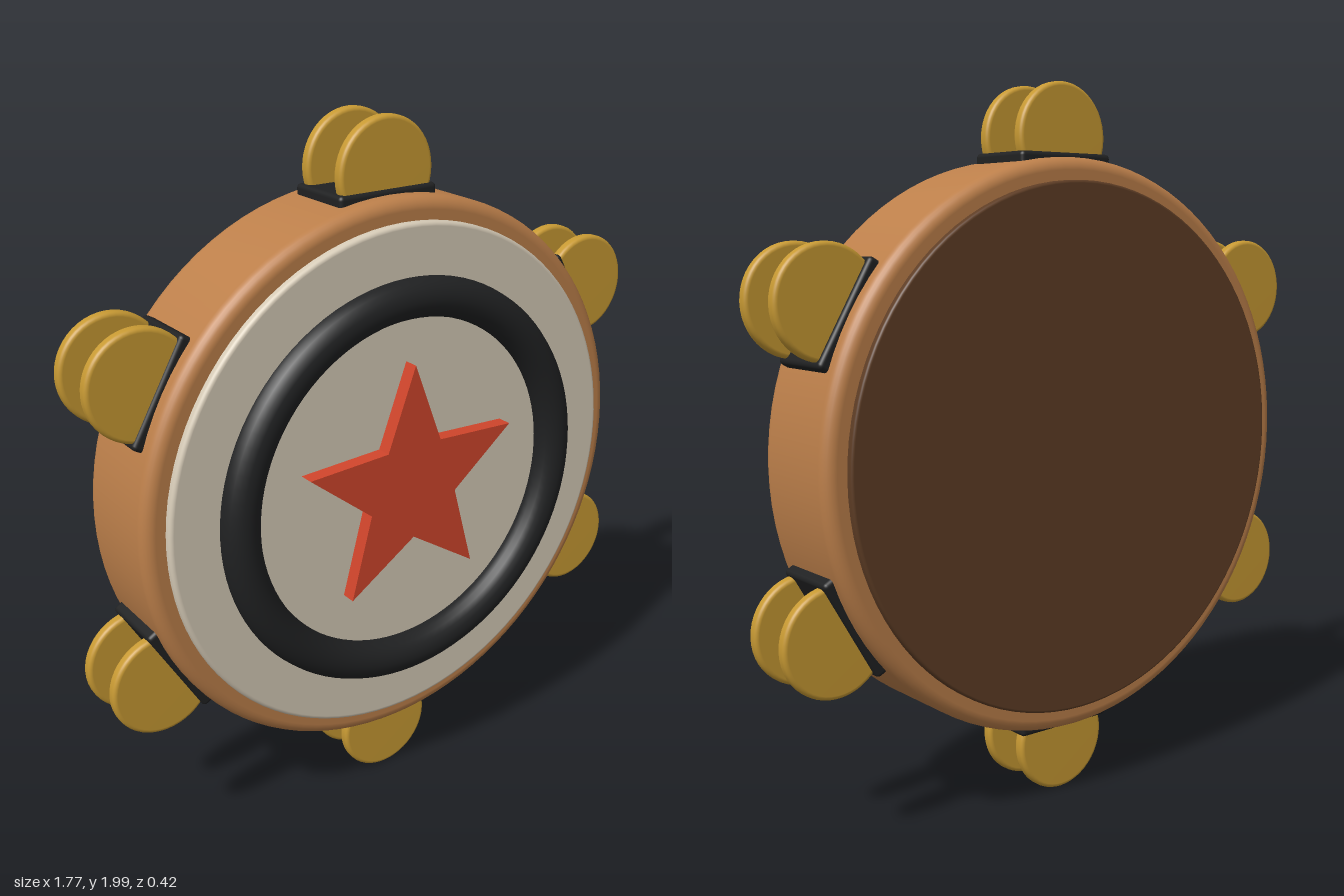
import * as THREE from 'three';
import { RoundedBoxGeometry } from 'three/addons/geometries/RoundedBoxGeometry.js';

const mat = (name, color) => {
  const m = new THREE.MeshStandardMaterial({ color });
  m.name = name;
  return m;
};

// Solid disc along z with rounded rims
function discGeometry(radius, z0, z1, round, segments = 96) {
  const pts = [new THREE.Vector2(0, z0)];
  const steps = 6;
  for (const [z, start] of [[z0 + round, -Math.PI / 2], [z1 - round, 0]]) {
    for (let i = 0; i <= steps; i++) {
      const a = start + (i / steps) * Math.PI / 2;
      pts.push(new THREE.Vector2(radius - round + round * Math.cos(a), z + round * Math.sin(a)));
    }
  }
  pts.push(new THREE.Vector2(0, z1));
  return new THREE.LatheGeometry(pts, segments).rotateX(Math.PI / 2);
}

function starGeometry(outer, inner, depth) {
  const pts = [];
  for (let i = 0; i < 10; i++) {
    const a = Math.PI / 2 + i * Math.PI / 5;
    const r = i % 2 ? inner : outer;
    pts.push(new THREE.Vector2(r * Math.cos(a), r * Math.sin(a)));
  }
  return new THREE.ExtrudeGeometry(new THREE.Shape(pts), { depth, bevelEnabled: false });
}

export function createModel() {
  const wood = mat('wood', 0xbc7f4a);
  const darkWood = mat('dark wood', 0x5e3d25);
  const skin = mat('cream skin', 0xd5cab6);
  const black = mat('black', 0x202122);
  const brass = mat('brass', 0xc79933);
  const red = mat('red', 0xd0452b);

  const model = new THREE.Group();
  model.name = 'tambourine';
  const body = new THREE.Group();
  body.name = 'body';
  body.position.y = 1.003;
  model.add(body);

  const add = (parent, name, geometry, material, x = 0, y = 0, z = 0) => {
    const mesh = new THREE.Mesh(geometry, material);
    mesh.name = name;
    mesh.position.set(x, y, z);
    parent.add(mesh);
    return mesh;
  };

  // Drum body with front skin and back panel
  add(body, 'frame', discGeometry(0.795, -0.19, 0.125, 0.035), wood);
  add(body, 'frontSkin', discGeometry(0.733, 0.09, 0.147, 0.012), skin);
  add(body, 'backPanel', discGeometry(0.733, -0.21, -0.16, 0.008), darkWood);

  // Painted ring, very slightly tilted, and raised star
  const ring = add(body, 'ring', new THREE.TorusGeometry(0.535, 0.056, 20, 96), black, 0, 0, 0.151);
  ring.rotation.set(-0.012, -0.006, 0);
  add(body, 'star', starGeometry(0.358, 0.152, 0.05), red, 0, 0.003, 0.14);

  // Six pairs of jingles, each on a dark mount
  const mountGeometry = new RoundedBoxGeometry(0.31, 0.05, 0.21, 3, 0.012);
  const jingleGeometry = discGeometry(0.148, -0.018, 0.018, 0.012, 48);
  for (let i = 0; i < 6; i++) {
    const station = new THREE.Group();
    station.name = `jingleStation${i + 1}`;
    station.rotation.z = i * Math.PI / 3;
    body.add(station);
    add(station, 'mount', mountGeometry, black, 0, 0.783, -0.035);
    for (const z of [0.043, -0.107]) add(station, 'jingle', jingleGeometry, brass, 0, 0.849, z);
  }
  return model;
}
